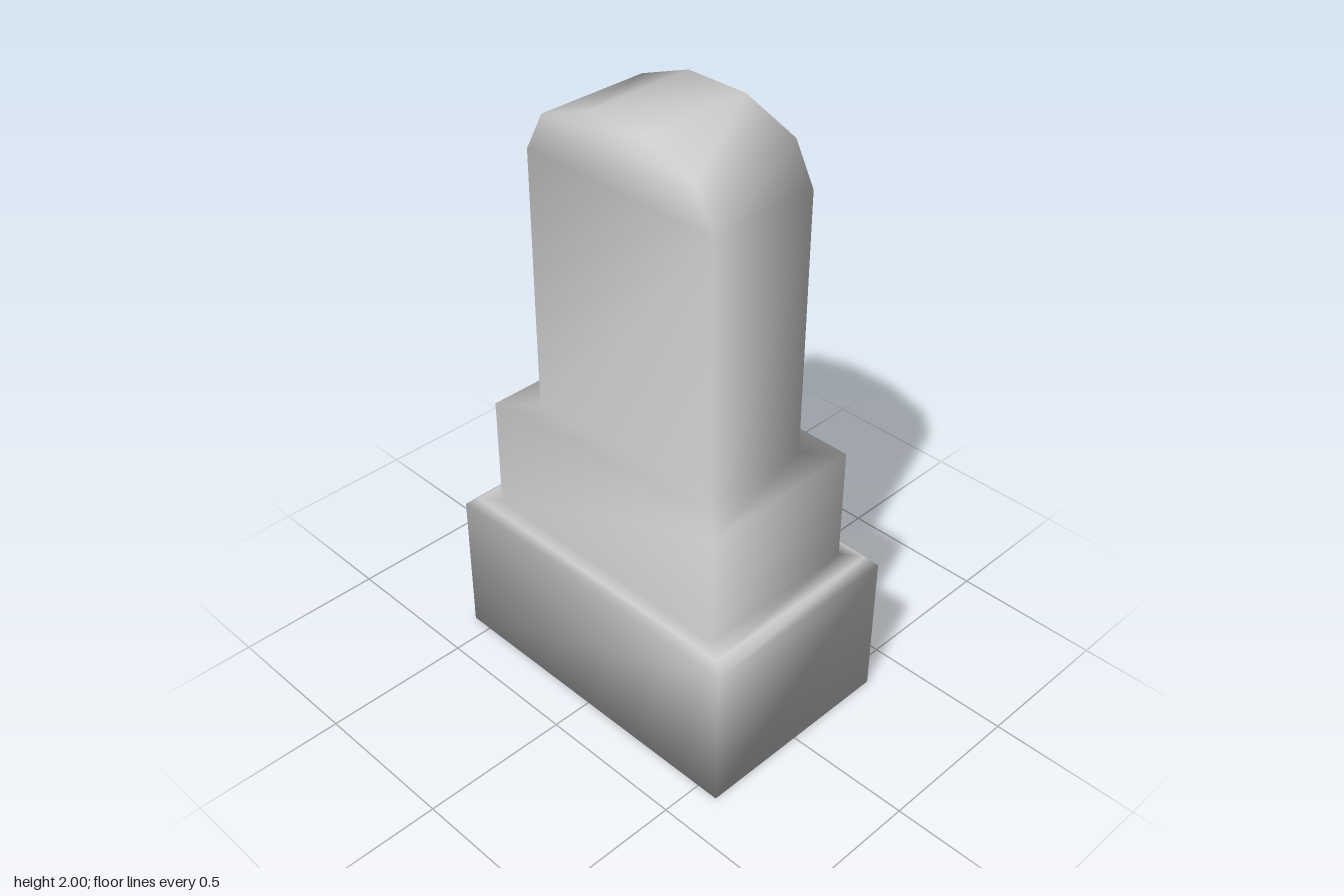
import * as THREE from 'three';
import { mergeGeometries, mergeVertices } from 'three/addons/utils/BufferGeometryUtils.js';

// Corners of a level, counter-clockwise seen from above
const CORNERS = [[-1, 1], [1, 1], [1, -1], [-1, -1]];

// Each level is [half width, half depth, height]; neighbouring parts share a level
const PARTS = [
  { name: 'base', floor: true, levels: [[0.575, 0.36, 0], [0.575, 0.36, 0.5], [0.54, 0.335, 0.53], [0.473, 0.288, 0.53]] },
  { name: 'plinth', levels: [[0.473, 0.288, 0.53], [0.473, 0.288, 0.917], [0.368, 0.193, 0.917]] },
  { name: 'headstone', roof: true, levels: [[0.368, 0.193, 0.917], [0.368, 0.193, 1.8], [0.298, 0.193, 1.93], [0.11, 0.193, 2]] },
];

// Joins rectangular levels into a stepped block
function loft({ levels, floor, roof }) {
  const positions = [];
  const rings = levels.map(([w, d, y]) => CORNERS.map(([x, z]) => [x * w, y, z * d]));
  const quad = (a, b, c, d) => positions.push(...a, ...b, ...c, ...a, ...c, ...d);
  for (let r = 0; r < rings.length - 1; r++) {
    for (let i = 0; i < 4; i++) {
      const j = (i + 1) % 4;
      quad(rings[r][i], rings[r][j], rings[r + 1][j], rings[r + 1][i]);
    }
  }
  if (floor) quad(...[...rings[0]].reverse());
  if (roof) quad(...rings[rings.length - 1]);
  const geometry = new THREE.BufferGeometry();
  geometry.setAttribute('position', new THREE.Float32BufferAttribute(positions, 3));
  return geometry;
}

export function createModel() {
  const group = new THREE.Group();
  group.name = 'gravestone';
  const material = new THREE.MeshStandardMaterial({ color: 0xcccccc });
  const geometries = PARTS.map(loft);

  // Smooth the normals over the whole stone so shading runs across the steps
  const welded = mergeVertices(mergeGeometries(geometries));
  welded.computeVertexNormals();
  const normals = welded.toNonIndexed().attributes.normal.array;

  let start = 0;
  geometries.forEach((geometry, i) => {
    const end = start + geometry.attributes.position.count * 3;
    geometry.setAttribute('normal', new THREE.BufferAttribute(normals.slice(start, end), 3));
    start = end;
    const mesh = new THREE.Mesh(geometry, material);
    mesh.name = PARTS[i].name;
    group.add(mesh);
  });
  return group;
}
